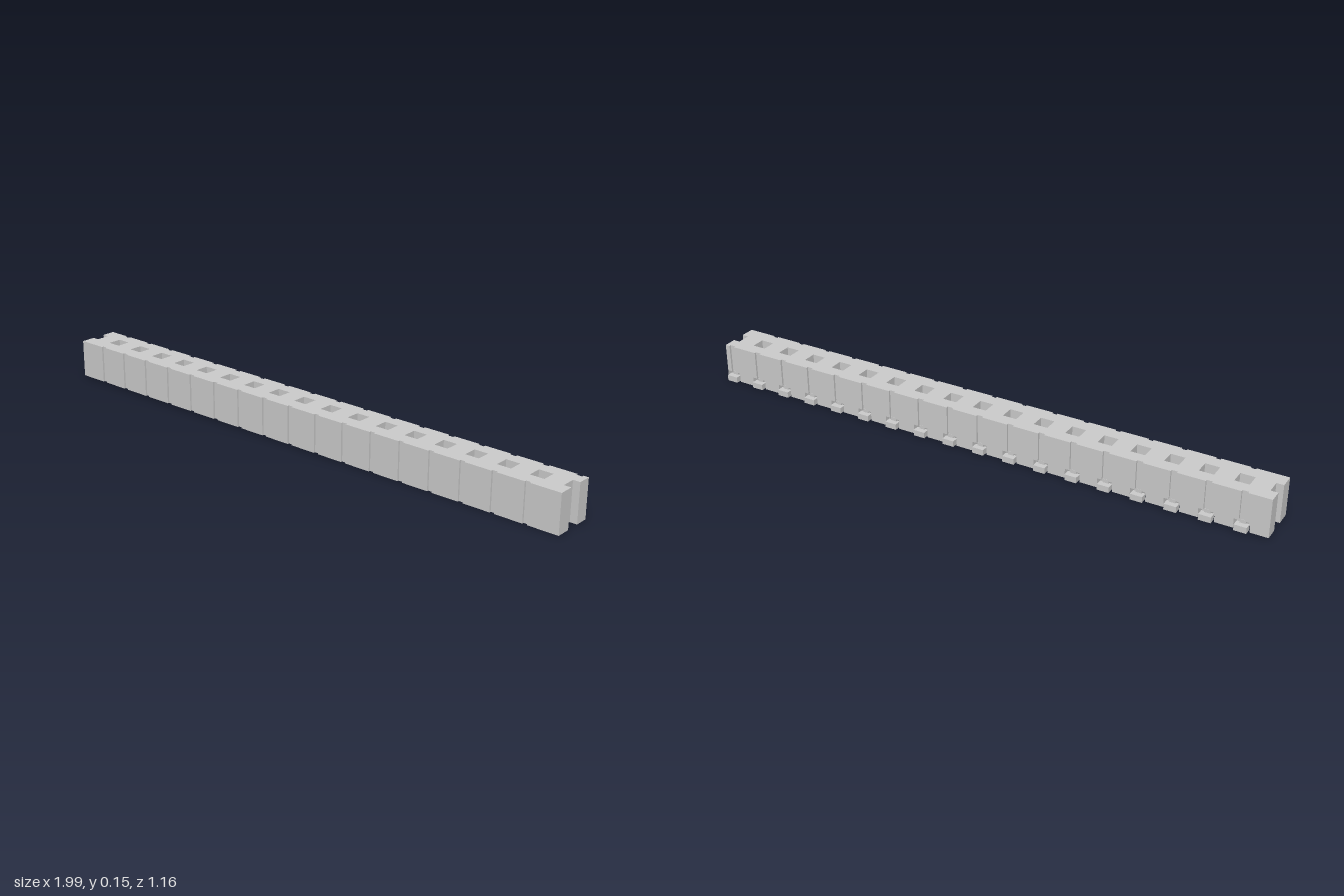
import * as THREE from 'three';

const COUNT = 18, PITCH = 0.1207, HALF = COUNT * PITCH / 2;
const FRONT = -0.08, BACK = 0.075, HOLE = 0.026;
const FOOT_OFFSET = PITCH - 0.029; // foot centre within each unit
const SPLIT = 0.035, TOP = 0.142;
const material = new THREE.MeshStandardMaterial({ color: 0xcccccc, flatShading: true });

// Plan of the strip: end half-holes, front seams and one recess per unit at the back
function stripPlan(recessHalf, recessDepth) {
  const pts = [[-HALF, FRONT]];
  for (let i = 1; i < COUNT; i++) {
    const x = -HALF + i * PITCH;
    pts.push([x - 0.009, FRONT], [x - 0.009, FRONT + 0.007], [x + 0.009, FRONT + 0.007], [x + 0.009, FRONT]);
  }
  pts.push([HALF, FRONT], [HALF, -HOLE], [HALF - HOLE, -HOLE], [HALF - HOLE, HOLE], [HALF, HOLE], [HALF, BACK]);
  for (let i = COUNT - 1; i >= 0; i--) {
    const x = -HALF + i * PITCH + FOOT_OFFSET, d = BACK - recessDepth;
    pts.push([x + recessHalf, BACK], [x + recessHalf, d], [x - recessHalf, d], [x - recessHalf, BACK]);
  }
  pts.push([-HALF, BACK], [-HALF, HOLE], [-HALF + HOLE, HOLE], [-HALF + HOLE, -HOLE], [-HALF, -HOLE]);
  const shape = new THREE.Shape(pts.map(([x, y]) => new THREE.Vector2(x, y)));
  for (let i = 1; i < COUNT; i++) {
    const x = -HALF + i * PITCH;
    shape.holes.push(new THREE.Path([[-1, -1], [-1, 1], [1, 1], [1, -1]]
      .map(([a, b]) => new THREE.Vector2(x + a * HOLE, b * HOLE))));
  }
  return shape;
}

function layer(name, shape, bottom, top) {
  const geo = new THREE.ExtrudeGeometry(shape, { depth: top - bottom, bevelEnabled: false });
  geo.rotateX(-Math.PI / 2).translate(0, bottom, 0);
  const mesh = new THREE.Mesh(geo, material);
  mesh.name = name;
  return mesh;
}

export function createModel() {
  const model = new THREE.Group();
  model.name = 'connectorStrip';
  const strip = new THREE.Group();
  strip.name = 'strip';
  model.add(strip);

  // Housing with shallow back grooves, above a base with deep foot recesses
  strip.add(layer('housing', stripPlan(0.011, 0.008), SPLIT, TOP));
  strip.add(layer('base', stripPlan(0.028, 0.035), 0, SPLIT));

  // Contact feet: a wide pad outside and a narrow lead inside each recess
  const pad = new THREE.BoxGeometry(0.044, 0.022, 0.026);
  const lead = new THREE.BoxGeometry(0.022, 0.03, 0.03);
  for (let i = 0; i < COUNT; i++) {
    const foot = new THREE.Group();
    foot.name = 'contactFoot';
    const padMesh = new THREE.Mesh(pad, material);
    padMesh.name = 'footPad';
    padMesh.position.set(0, 0.011, -BACK);
    const leadMesh = new THREE.Mesh(lead, material);
    leadMesh.name = 'footLead';
    leadMesh.position.set(0, 0.02, -BACK + 0.022);
    foot.add(padMesh, leadMesh);
    foot.position.x = -HALF + i * PITCH + FOOT_OFFSET;
    strip.add(foot);
  }

  // Diagonal placement with a slight slope along the length
  strip.rotation.set(0, -0.488, -0.003);
  strip.position.y = 0.0033;
  return model;
}
